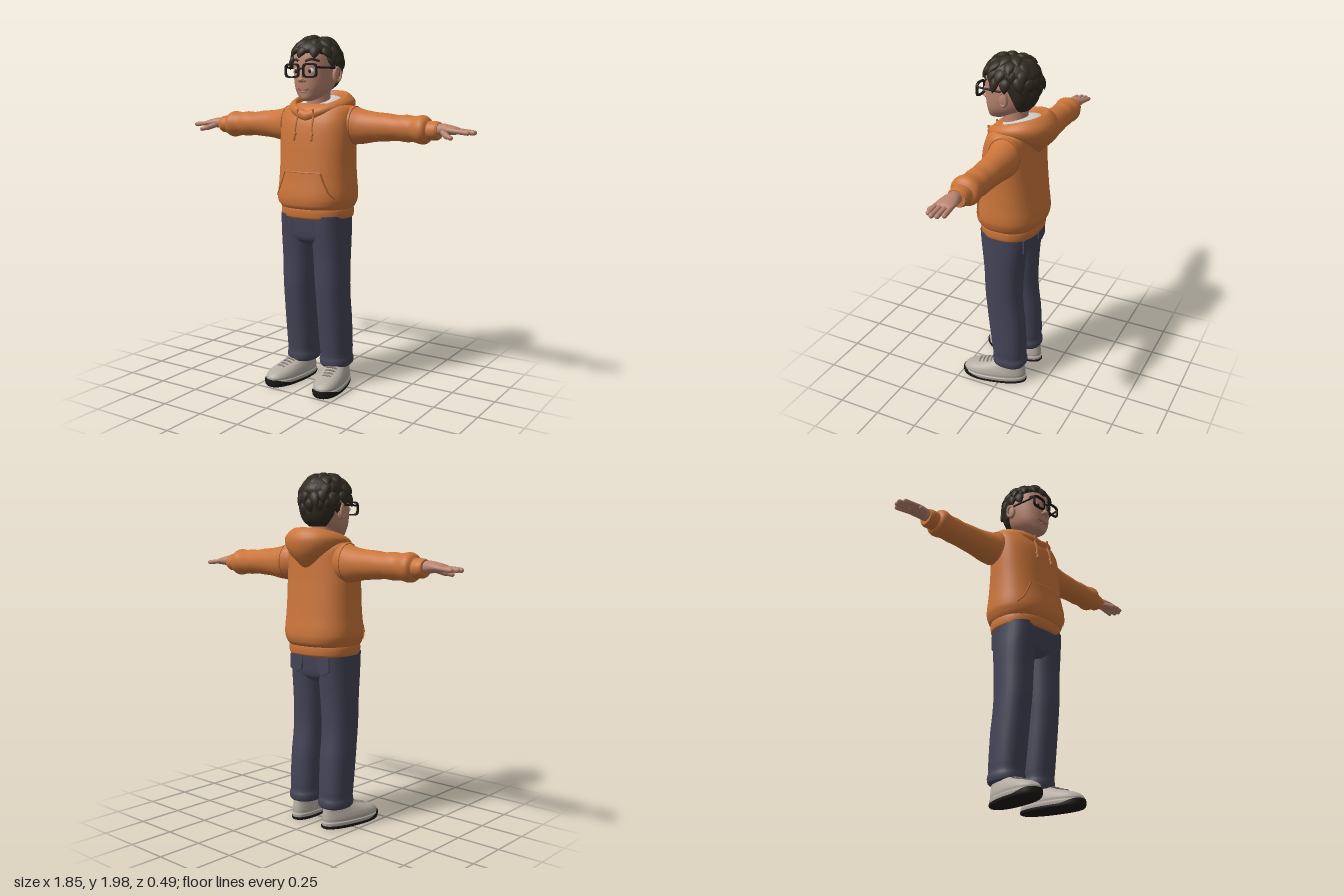
import * as THREE from 'three';
import { mergeGeometries } from 'three/addons/utils/BufferGeometryUtils.js';

const V = (x, y, z) => new THREE.Vector3(x, y, z);
const paint = (name, color, side = THREE.FrontSide) => Object.assign(new THREE.MeshStandardMaterial({ color, side }), { name });

// smooth interpolation of section keys [t, centreA, centreB, radiusA, radiusB]
function at(keys, t) {
  let i = 0;
  while (i < keys.length - 2 && keys[i + 1][0] <= t) i++;
  const k1 = keys[i], k2 = keys[i + 1], k0 = keys[Math.max(i - 1, 0)], k3 = keys[Math.min(i + 2, keys.length - 1)];
  const h = k2[0] - k1[0], s = (t - k1[0]) / h, s2 = s * s, s3 = s2 * s;
  return k1.map((v, c) => {
    const m1 = (k2[c] - k0[c]) / (k2[0] - k0[0]) * h, m2 = (k3[c] - v) / (k3[0] - k1[0]) * h;
    return (2 * s3 - 3 * s2 + 1) * v + (s3 - 2 * s2 + s) * m1 + (3 * s2 - 2 * s3) * k2[c] + (s3 - s2) * m2;
  });
}
// closed superellipse loft along y, or along x with centres and radii given as z, y
function loft(keys, { axis = 'y', power = 2, seg = 32, sub = 4 } = {}) {
  const pos = [], idx = [], rings = [], e = 2 / power;
  for (let i = 0; i < keys.length - 1; i++)
    for (let s = 0; s < sub; s++) rings.push(at(keys, keys[i][0] + (keys[i + 1][0] - keys[i][0]) * s / sub));
  rings.push(keys[keys.length - 1]);
  const put = (t, a, b) => pos.push(...(axis === 'y' ? [a, t, b] : [t, b, a]));
  const ring = ([t, ca, cb, ra, rb]) => {
    for (let j = 0; j < seg; j++) {
      const w = j / seg * Math.PI * 2, c = Math.cos(w), s = Math.sin(w);
      put(t, ca + ra * Math.sign(c) * Math.abs(c) ** e, cb + rb * Math.sign(s) * Math.abs(s) ** e);
    }
  };
  rings.forEach(ring);
  for (let i = 0; i < rings.length - 1; i++) for (let j = 0; j < seg; j++) {
    const a = i * seg + j, b = i * seg + (j + 1) % seg;
    idx.push(a, a + seg, b, b, a + seg, b + seg);
  }
  for (const top of [0, 1]) {
    const r = rings[top ? rings.length - 1 : 0], base = pos.length / 3;
    ring(r); put(r[0], r[1], r[2]);
    for (let j = 0; j < seg; j++) {
      const a = base + j, b = base + (j + 1) % seg;
      idx.push(base + seg, top ? b : a, top ? a : b);
    }
  }
  return build(pos, idx);
}
function build(pos, idx) {
  const g = new THREE.BufferGeometry();
  g.setAttribute('position', new THREE.Float32BufferAttribute(pos, 3));
  g.setIndex(idx); g.computeVertexNormals();
  return g;
}
function warp(g, rule) {
  const p = g.attributes.position, v = V();
  for (let i = 0; i < p.count; i++) { v.fromBufferAttribute(p, i); rule(v); p.setXYZ(i, v.x, v.y, v.z); }
  g.computeVertexNormals();
  return g;
}
// front surface height of a y loft
const frontZ = (keys, power, x, y) => {
  const [, cx, cz, rx, rz] = at(keys, y);
  return cz + rz * Math.max(0, 1 - Math.abs((x - cx) / rx) ** power) ** (1 / power);
};
const join = list => mergeGeometries(list.map(g => {
  g.deleteAttribute('uv');
  if (!g.index) g.setIndex([...Array(g.attributes.position.count).keys()]);
  return g;
}));
function mirrored(g) {
  const m = g.clone().scale(-1, 1, 1), a = m.index.array;
  for (let i = 0; i < a.length; i += 3) [a[i], a[i + 2]] = [a[i + 2], a[i]];
  return m;
}
const ball = (x, y, z, rx, ry, rz) => new THREE.SphereGeometry(1, 20, 14).scale(rx, ry, rz).translate(x, y, z);
const limb = (a, b, r) => {
  const d = b.clone().sub(a), q = new THREE.Quaternion().setFromUnitVectors(V(0, 1, 0), d.clone().normalize());
  return new THREE.CapsuleGeometry(r, d.length(), 5, 12).applyQuaternion(q).translate(...a.clone().add(b).multiplyScalar(0.5).toArray());
};
const tube = (pts, r) => new THREE.TubeGeometry(new THREE.CatmullRomCurve3(pts), 20, r, 6);

export function createModel() {
  const root = new THREE.Group();
  root.name = 'boyInHoodie';
  const orange = paint('hoodieOrange', 0xcb753a, THREE.DoubleSide), seam = paint('seamOrange', 0xa55a2a);
  const denim = paint('denim', 0x444457), skin = paint('skin', 0xb98470), hair = paint('hair', 0x302a20);
  const black = paint('black', 0x1b1917), shoe = paint('shoeGrey', 0xb5ada3), lace = paint('laceGrey', 0x89817a);
  const white = paint('white', 0xcfcdca), lip = paint('lip', 0x8f5548);
  const add = (name, mat, ...gs) => {
    const m = new THREE.Mesh(join(gs), mat);
    m.name = name; root.add(m);
  };
  const pair = (name, mat, ...gs) => {
    const g = join(gs);
    add(name + 'Left', mat, g); add(name + 'Right', mat, mirrored(g));
  };

  // trousers
  add('trouserSeat', denim, loft([[0.83, 0, 0, 0.08, 0.09], [0.86, 0, 0, 0.185, 0.12], [0.92, 0, 0, 0.199, 0.132], [1.02, 0, 0, 0.198, 0.14]], { power: 2.8 }));
  pair('trouserLeg', denim, loft([[0.115, 0.112, -0.04, 0.08, 0.094], [0.125, 0.112, -0.04, 0.088, 0.101], [0.15, 0.112, -0.04, 0.091, 0.103],
    [0.175, 0.112, -0.038, 0.086, 0.098], [0.22, 0.112, -0.036, 0.088, 0.101], [0.4, 0.11, -0.02, 0.09, 0.108], [0.5, 0.109, -0.008, 0.09, 0.107],
    [0.6, 0.107, 0, 0.092, 0.109], [0.75, 0.104, 0, 0.096, 0.115], [0.86, 0.102, 0, 0.1, 0.125], [0.95, 0.1, 0, 0.1, 0.135], [1, 0.1, 0, 0.1, 0.138]], { power: 2.3 }));
  const pocketShape = new THREE.Shape([[-0.045, 0.98], [-0.043, 0.9], [0, 0.875], [0.043, 0.9], [0.045, 0.98]].map(p => new THREE.Vector2(...p)));
  pair('backPocket', denim, new THREE.ExtrudeGeometry(pocketShape, { depth: 0.009, bevelEnabled: false }).translate(0.1, 0, -0.14));

  // shoes, toes turned outward
  const place = g => g.rotateY(0.17).translate(0.132, 0, 0);
  const widen = v => { v.x *= 1 + 0.6 * (v.z - 0.02); };
  pair('shoeUpper', shoe, place(warp(loft([[0.012, 0, 0.05, 0.076, 0.193], [0.035, 0, 0.05, 0.079, 0.196], [0.04, 0, 0.05, 0.074, 0.19], [0.055, 0, 0.049, 0.075, 0.19],
    [0.078, 0, 0.037, 0.07, 0.176], [0.097, 0, 0.01, 0.063, 0.146], [0.117, 0, -0.025, 0.056, 0.108], [0.137, 0, -0.04, 0.05, 0.088], [0.15, 0, -0.04, 0.044, 0.08]], { power: 2.3 }), widen)));
  pair('outsole', black, place(warp(loft([[0, 0, 0.05, 0.072, 0.188], [0.005, 0, 0.05, 0.078, 0.197], [0.018, 0, 0.05, 0.079, 0.198]], { power: 2.3 }),
    v => { v.y *= 1 + 1.4 * THREE.MathUtils.smoothstep(v.z, 0.13, 0.24); widen(v); })));
  pair('shoeLaces', lace, ...[[0.142, 0.1], [0.117, 0.107], [0.092, 0.116], [0.068, 0.124]].map(([z, y]) =>
    place(tube([V(-0.04, y - 0.02, z - 0.008), V(-0.02, y, z), V(0.02, y, z), V(0.04, y - 0.02, z - 0.008)], 0.005))));

  // hoodie body and hem
  const torso = [[1.03, 0, -0.01, 0.2, 0.162], [1.055, 0, -0.012, 0.215, 0.18], [1.1, 0, -0.014, 0.228, 0.187], [1.2, 0, -0.015, 0.223, 0.175], [1.3, 0, -0.015, 0.22, 0.165],
    [1.4, 0, -0.015, 0.222, 0.156], [1.5, 0, -0.02, 0.222, 0.146], [1.56, 0, -0.03, 0.217, 0.132], [1.59, 0, -0.035, 0.205, 0.118], [1.607, 0, -0.038, 0.18, 0.1], [1.615, 0, -0.04, 0.14, 0.075]];
  add('hoodieBody', orange, loft(torso, { power: 2.4, seg: 48 }));
  add('hemBand', orange, loft([[0.98, 0, -0.01, 0.196, 0.157], [0.99, 0, -0.01, 0.205, 0.164], [1.03, 0, -0.01, 0.207, 0.167], [1.05, 0, -0.01, 0.2, 0.16]], { power: 2.4, seg: 48 }));

  // front pocket following the body
  const onBody = (x, y, lift) => V(x, y, frontZ(torso, 2.4, x, y) + lift);
  const pocketHalf = y => y < 1.1 ? 0.19 : 0.19 - 0.075 * ((y - 1.1) / 0.14) ** 0.7;
  add('frontPocket', orange, warp(new THREE.PlaneGeometry(2, 1, 32, 16), v => {
    const y = 1.06 + 0.18 * (v.y + 0.5);
    v.copy(onBody(v.x * pocketHalf(y), y, 0.007));
  }));
  pair('pocketOpening', seam, tube([1.1, 1.13, 1.17, 1.21, 1.24].map(y => onBody(pocketHalf(y), y, 0.005)), 0.005));
  add('pocketTopEdge', orange, tube([-0.115, -0.06, 0, 0.06, 0.115].map(x => onBody(x, 1.24, 0.004)), 0.005));

  // sleeves and cuffs
  pair('sleeve', orange, loft([[0.13, -0.05, 1.5, 0.07, 0.085], [0.2, -0.055, 1.498, 0.09, 0.104], [0.26, -0.065, 1.489, 0.086, 0.095], [0.34, -0.07, 1.489, 0.077, 0.081],
    [0.42, -0.07, 1.489, 0.073, 0.075], [0.48, -0.069, 1.487, 0.072, 0.069], [0.53, -0.067, 1.486, 0.071, 0.073], [0.575, -0.064, 1.484, 0.07, 0.069],
    [0.625, -0.06, 1.482, 0.079, 0.077], [0.65, -0.06, 1.48, 0.073, 0.068], [0.665, -0.06, 1.479, 0.05, 0.048]], { axis: 'x' }));
  pair('cuff', orange, loft([[0.64, -0.06, 1.479, 0.05, 0.048], [0.665, -0.06, 1.479, 0.055, 0.051], [0.705, -0.06, 1.479, 0.055, 0.05], [0.72, -0.06, 1.48, 0.048, 0.044]], { axis: 'x' }));
  pair('armholeSeam', seam, new THREE.TorusGeometry(1, 0.03, 6, 40).rotateY(Math.PI / 2).scale(0.1, 0.103, 0.09).translate(0.222, 1.495, -0.058));

  // hands, palms down
  pair('hand', skin, loft([[0.69, -0.055, 1.483, 0.033, 0.03], [0.74, -0.055, 1.487, 0.038, 0.032], [0.78, -0.052, 1.486, 0.048, 0.026], [0.82, -0.05, 1.483, 0.049, 0.019], [0.838, -0.05, 1.481, 0.034, 0.01]], { axis: 'x' }),
    ...[[-0.088, 0.888], [-0.063, 0.908], [-0.037, 0.913], [-0.012, 0.893]].map(([z, x]) => limb(V(0.81, 1.483, z), V(x, 1.475, z * 1.06), 0.0125)),
    limb(V(0.755, 1.473, -0.025), V(0.79, 1.457, 0.012), 0.016), limb(V(0.785, 1.458, 0.01), V(0.818, 1.45, 0.027), 0.0125));

  // lowered hood: a rim profile swept round the neck, drooping at the back
  const hoodPos = [], hoodIdx = [], H = 64, P = 20;
  for (let j = 0; j < H; j++) {
    const w = j / H * Math.PI * 2, c = Math.cos(w), s = Math.sin(w), b = (1 - s) / 2, d = b ** 3;
    const rim = 1.575 + 0.11 * b ** 0.55;
    const profile = new THREE.CatmullRomCurve3([[-0.022, -0.09], [-0.012, -0.03], [0.003, 0], [0.024, -0.008], [0.032 + 0.028 * b, -0.03 - 0.03 * d],
      [0.022 + 0.023 * b, -0.055 - 0.09 * d], [-0.03, -0.08 - 0.15 * d]].map(([o, y]) => V(o, y, 0)));
    for (const p of profile.getPoints(P)) hoodPos.push((0.14 + p.x) * c, rim + p.y, -0.045 + (0.14 + p.x) * s);
    for (let i = 0; i < P; i++) {
      const a = j * (P + 1) + i, n = (j + 1) % H * (P + 1) + i;
      hoodIdx.push(a, n, a + 1, n, n + 1, a + 1);
    }
  }
  add('hood', orange, build(hoodPos, hoodIdx));
  pair('drawstring', orange, tube([V(0.05, 1.585, 0.118), onBody(0.052, 1.545, 0.008), onBody(0.053, 1.5, 0.007), onBody(0.056, 1.45, 0.007)], 0.006),
    ball(0.056, 1.45, 0.137, 0.011, 0.011, 0.01), limb(onBody(0.056, 1.44, 0.008), onBody(0.057, 1.42, 0.008), 0.008));

  // undershirt and neck
  add('undershirt', white, warp(loft([[1.56, 0, -0.04, 0.12, 0.115], [1.62, 0, -0.04, 0.12, 0.118], [1.636, 0, -0.04, 0.085, 0.085], [1.64, 0, -0.04, 0.06, 0.06]]), v => { v.y -= (v.z + 0.04) * 0.28; }));
  add('neck', skin, loft([[1.56, 0, -0.025, 0.075, 0.078], [1.63, 0, -0.02, 0.066, 0.07], [1.74, 0, -0.015, 0.066, 0.075]]));

  // head, ears and face
  const head = [[1.628, 0, 0.095, 0.02, 0.02], [1.64, 0, 0.08, 0.045, 0.05], [1.67, 0, 0.045, 0.077, 0.09], [1.7, 0, 0.025, 0.095, 0.115], [1.74, 0, 0.01, 0.106, 0.133],
    [1.78, 0, 0, 0.112, 0.145], [1.82, 0, -0.002, 0.114, 0.148], [1.88, 0, -0.005, 0.112, 0.143], [1.92, 0, -0.005, 0.098, 0.122], [1.95, 0, -0.005, 0.06, 0.08]];
  const onFace = (x, y, lift) => V(x, y, frontZ(head, 2.2, x, y) + lift);
  add('head', skin, loft(head, { power: 2.2, seg: 40 }));
  pair('ear', skin, ball(0.12, 1.768, -0.008, 0.016, 0.043, 0.026), new THREE.TorusGeometry(0.027, 0.007, 8, 20).scale(0.8, 1.3, 1).rotateY(Math.PI / 2 - 0.35).translate(0.131, 1.772, -0.01));
  add('nose', skin, limb(V(0, 1.8, 0.14), V(0, 1.75, 0.154), 0.011), ball(0, 1.741, 0.155, 0.018, 0.014, 0.02));
  pair('nostril', skin, ball(0.015, 1.737, 0.147, 0.01, 0.009, 0.013));
  add('mouth', lip, tube([-0.036, -0.02, 0, 0.02, 0.036].map(x => onFace(x, 1.687 + 6 * x * x, 0.001)), 0.0035));
  add('lowerLip', skin, ball(0, 1.679, 0.134, 0.02, 0.006, 0.009));
  const eye = onFace(0.046, 1.789, 0);
  pair('eyeWhite', white, ball(eye.x, eye.y, eye.z - 0.003, 0.023, 0.015, 0.008));
  pair('iris', black, ball(eye.x - 0.001, eye.y, eye.z + 0.003, 0.01, 0.011, 0.004));
  pair('eyebrow', hair, tube([[0.02, 1.84], [0.05, 1.851], [0.085, 1.841]].map(([x, y]) => onFace(x, y, 0.002)), 0.007));

  // glasses
  const outline = (rx, ry) => Array.from({ length: 40 }, (_, i) => {
    const w = i / 40 * Math.PI * 2, c = Math.cos(w), s = Math.sin(w);
    return new THREE.Vector2(rx * Math.sign(c) * Math.abs(c) ** 0.5, ry * Math.sign(s) * Math.abs(s) ** 0.5);
  });
  const frame = new THREE.Shape(outline(0.046, 0.039));
  frame.holes.push(new THREE.Path(outline(0.037, 0.03)));
  pair('glassesFrame', black, new THREE.ExtrudeGeometry(frame, { depth: 0.012, bevelEnabled: false }).translate(0.057, 1.791, 0.152));
  pair('glassesTemple', black, limb(V(0.101, 1.808, 0.156), V(0.121, 1.806, -0.005), 0.0055));
  add('glassesBridge', black, limb(V(-0.013, 1.802, 0.159), V(0.013, 1.802, 0.159), 0.005));

  // hair: scalp cap covered by overlapping pointed locks
  add('hairCap', hair, loft([[1.69, 0, -0.065, 0.055, 0.035], [1.72, 0, -0.073, 0.088, 0.055], [1.77, 0, -0.07, 0.112, 0.077], [1.82, 0, -0.055, 0.122, 0.098], [1.86, 0, -0.025, 0.126, 0.13],
    [1.89, 0, -0.006, 0.126, 0.15], [1.92, 0, 0, 0.116, 0.138], [1.95, 0, 0, 0.09, 0.105], [1.967, 0, 0, 0.05, 0.06]]));
  const lockBase = loft([[-0.05, 0, -0.3, 0.2, 0.2], [0.15, 0, 0, 0.8, 0.9], [0.45, 0, 0.1, 1, 1], [0.75, 0.15, -0.05, 0.65, 0.7], [1, 0.4, -0.4, 0.03, 0.05]], { seg: 10, sub: 3 });
  let seed = 7;
  const rnd = () => (seed = seed * 16807 % 2147483647) / 2147483647;
  const locks = [];
  // rows: angle from crown, count, length, half width, furthest forward
  for (const [deg, n, len, wide, limit] of [[8, 5, 0.08, 0.032, 2], [28, 9, 0.085, 0.033, 2], [48, 13, 0.082, 0.032, 2], [68, 15, 0.088, 0.03, 0.42], [90, 15, 0.085, 0.028, -0.3], [110, 13, 0.08, 0.026, -0.4]])
    for (let i = 0; i < n; i++) {
      const w = (i + 0.3 * rnd() + deg / 40) / n * Math.PI * 2, f = (deg + 8 * (rnd() - 0.5)) * Math.PI / 180;
      if (Math.sin(w) > limit) continue;
      const sf = Math.sin(f), cf = Math.cos(f);
      const p = V(0.124 * sf * Math.cos(w), 1.833 + 0.136 * cf, 0.148 * sf * Math.sin(w));
      const out = V(sf * Math.cos(w), cf, sf * Math.sin(w));
      const down = V(cf * Math.cos(w), -sf, cf * Math.sin(w)).applyAxisAngle(out, 0.35 + 0.5 * (rnd() - 0.5)).addScaledVector(out, deg < 80 ? -0.12 + 0.2 * rnd() : -0.08).normalize();
      const side = down.clone().cross(out).normalize(), up = side.clone().cross(down);
      const m = new THREE.Matrix4().makeBasis(side.multiplyScalar(wide), down.multiplyScalar(len * (0.9 + 0.3 * rnd())), up.multiplyScalar(0.017)).setPosition(p);
      locks.push(lockBase.clone().applyMatrix4(m));
    }
  add('hairLocks', hair, ...locks);
  return root;
}
